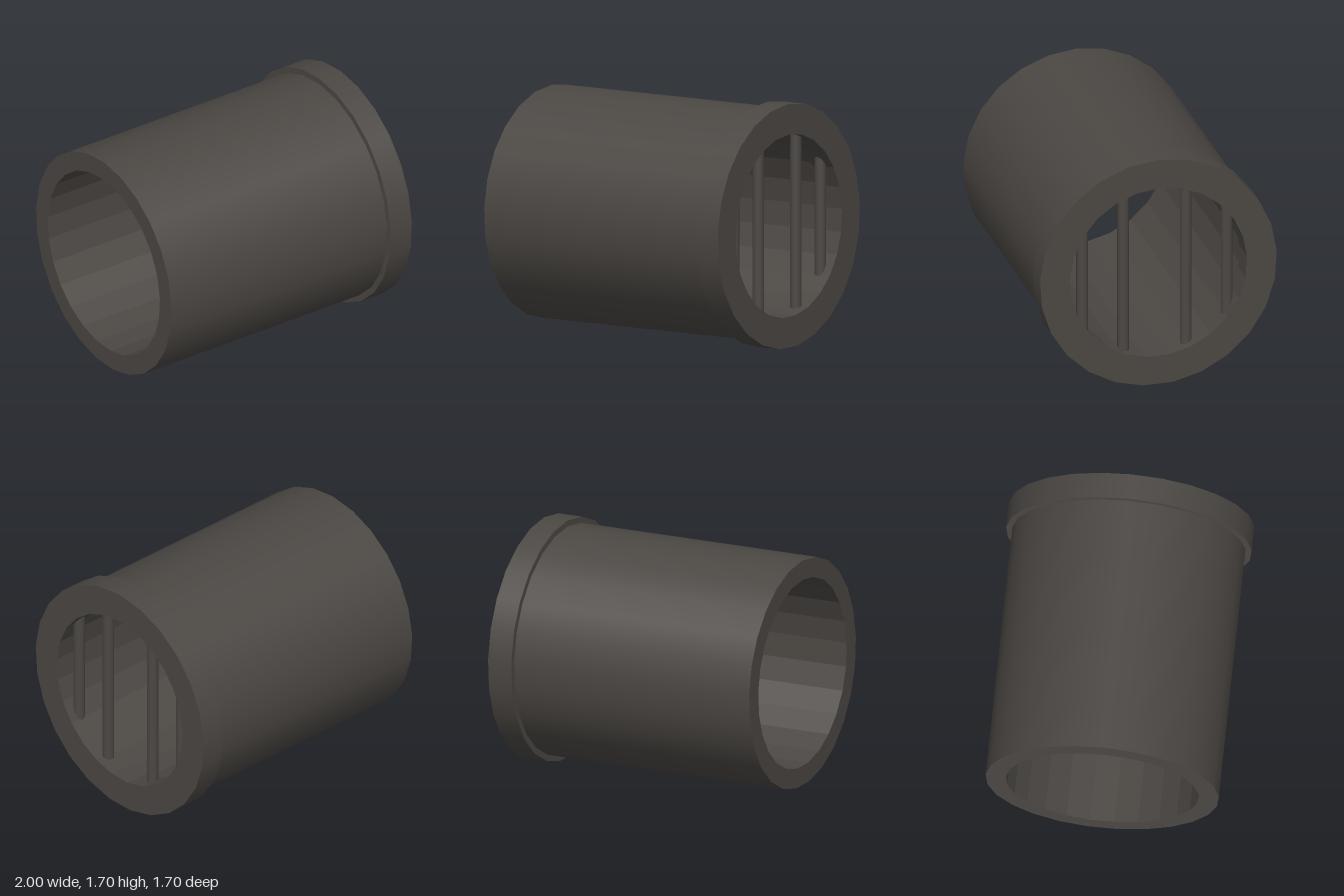
import * as THREE from 'three';
import { mergeGeometries } from 'three/addons/utils/BufferGeometryUtils.js';

const SIDES = 25;
const CENTRE_Y = 0.85;
const material = new THREE.MeshStandardMaterial({ color: 0x4b4743 });

// One band of a ring round the x axis, between two [radius, x] points
function band(a, b, flat) {
  let g = new THREE.LatheGeometry([new THREE.Vector2(...a), new THREE.Vector2(...b)], SIDES);
  if (flat) {
    g = g.toNonIndexed();
    g.computeVertexNormals();
    return g;
  }
  return g.toNonIndexed();
}

// Hollow ring with square edges: smooth outside, faceted bore
function ring(name, outer, inner, x0, x1) {
  const g = mergeGeometries([
    band([outer, x0], [outer, x1], false),
    band([outer, x1], [inner, x1], true),
    band([inner, x1], [inner, x0], true),
    band([inner, x0], [outer, x0], true),
  ]);
  g.rotateX(-Math.PI / 2).rotateY(-Math.PI / 2); // axis to x, first corner to the top
  const mesh = new THREE.Mesh(g, material);
  mesh.name = name;
  mesh.position.y = CENTRE_Y;
  return mesh;
}

export function createModel() {
  const model = new THREE.Group();
  model.name = 'gratedPipe';

  model.add(ring('pipe', 0.81, 0.67, -1, 0.82));
  model.add(ring('collar', 0.853, 0.638, 0.82, 1));

  // Upright bars across the collar opening, ends sunk into the collar
  const grate = new THREE.Group();
  grate.name = 'grate';
  for (const z of [-0.52, -0.225, 0.225, 0.52]) {
    const length = 2 * Math.sqrt(0.72 ** 2 - z * z);
    const bar = new THREE.Mesh(new THREE.CylinderGeometry(0.04, 0.04, length, 16), material);
    bar.name = 'bar';
    bar.position.set(0.9, CENTRE_Y, z);
    grate.add(bar);
  }
  model.add(grate);

  return model;
}
